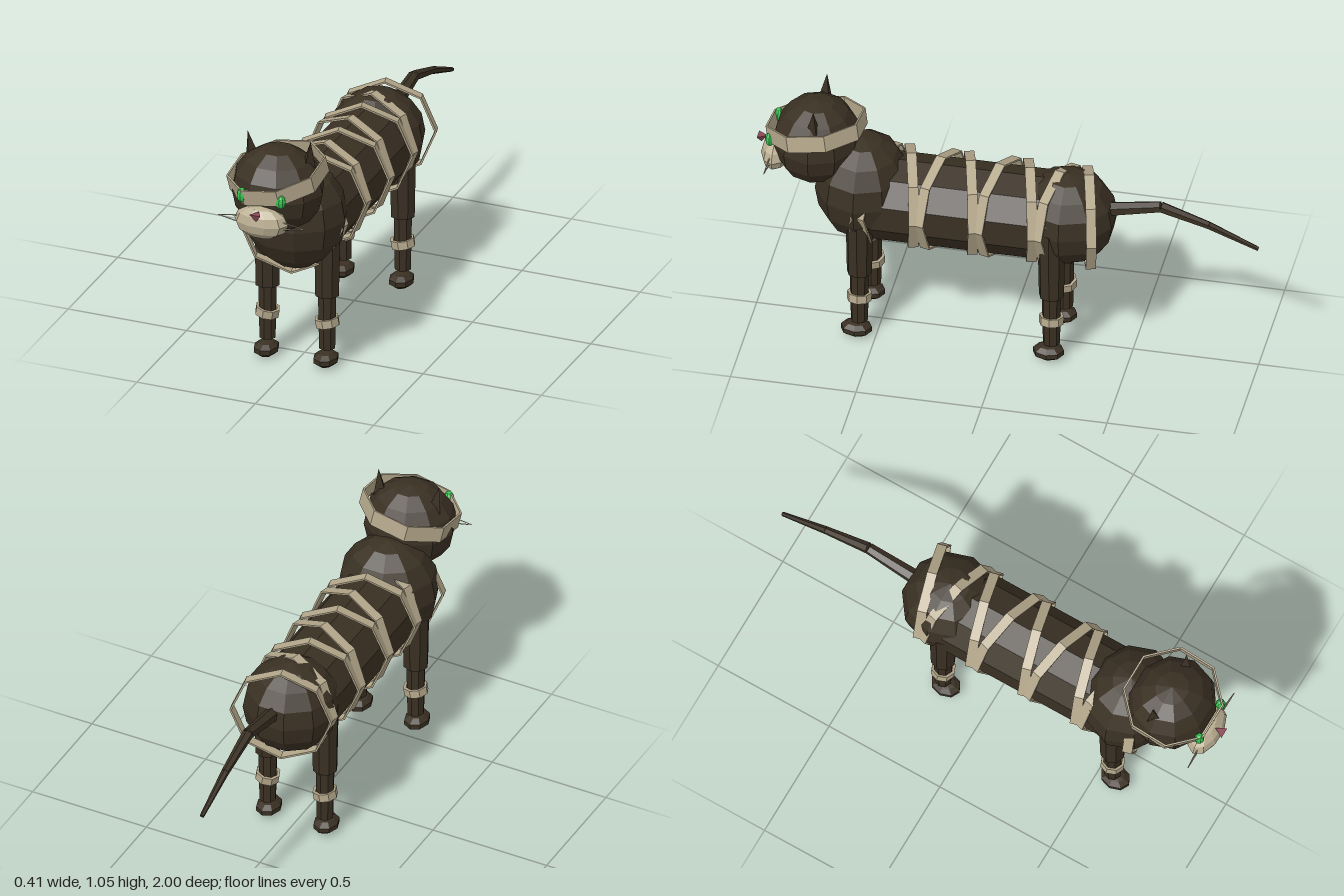
import * as THREE from 'three';

const mat = (name, color, side = THREE.FrontSide) => {
  const m = new THREE.MeshStandardMaterial({ color, flatShading: true, side });
  m.name = name;
  return m;
};

export function createModel() {
  const fur = mat('dark fur', 0x3a3023);
  const cloth = mat('bandage cloth', 0xb3a68a, THREE.DoubleSide);
  const pale = mat('pale muzzle', 0xb9ad91);
  const green = mat('green eye', 0x35c450);
  const pink = mat('pink nose', 0x8c4a58);

  const cat = new THREE.Group();
  cat.name = 'bandagedCat';

  const add = (name, geometry, material, x, y, z, parent = cat) => {
    const mesh = new THREE.Mesh(geometry, material);
    mesh.name = name;
    mesh.position.set(x, y, z);
    parent.add(mesh);
    return mesh;
  };
  // Faceted ellipsoid
  const blob = (name, material, pos, radii, w = 10, h = 8) => {
    const mesh = add(name, new THREE.SphereGeometry(1, w, h), material, ...pos);
    mesh.scale.set(...radii);
    return mesh;
  };
  // Tapered rod from point a to point b
  const rod = (name, material, a, b, ra, rb, sides = 8) => {
    const from = new THREE.Vector3(...a), to = new THREE.Vector3(...b);
    const dir = to.clone().sub(from);
    const mid = from.clone().add(to).multiplyScalar(0.5);
    const mesh = add(name, new THREE.CylinderGeometry(rb, ra, dir.length(), sides), material, mid.x, mid.y, mid.z);
    mesh.quaternion.setFromUnitVectors(new THREE.Vector3(0, 1, 0), dir.normalize());
    return mesh;
  };
  // Flat faceted hoop around the y axis
  const hoop = (radius, width, thick = 0.008) => {
    const i = radius - thick, w = width / 2;
    const p = [[i, -w], [radius, -w], [radius, w], [i, w], [i, -w]];
    return new THREE.LatheGeometry(p.map(([x, y]) => new THREE.Vector2(x, y)), 8);
  };

  // Trunk
  const cx = -0.004;
  rod('torso', fur, [cx, 0.602, 0.52], [cx, 0.602, -0.25], 0.177, 0.177, 10);
  blob('chest', fur, [cx, 0.642, 0.575], [0.207, 0.222, 0.19]);
  blob('haunches', fur, [cx, 0.615, -0.24], [0.193, 0.195, 0.195]);

  // Bandage hoops zigzagging down the trunk
  for (let i = 0; i < 9; i++) {
    const tilt = new THREE.Group();
    tilt.name = 'bodyBandage';
    tilt.position.set(cx, 0.612, 0.62 - i * 0.118);
    tilt.rotation.y = i % 2 ? -0.25 : 0.25;
    add('bodyBandageHoop', hoop(0.205, 0.04), cloth, 0, 0, 0, tilt).rotation.x = Math.PI / 2;
    cat.add(tilt);
  }

  // Legs, paws and leg bandages
  for (const [end, z] of [['front', 0.565], ['rear', -0.2]]) {
    for (const s of [-1, 1]) {
      const x = cx + s * 0.126;
      rod(end + 'UpperLeg', fur, [x, 0.31, z], [x, 0.62, z], 0.05, 0.056);
      rod(end + 'LowerLeg', fur, [x, 0.08, z], [x, 0.34, z], 0.034, 0.039);
      blob(end + 'Paw', fur, [x, 0.037, z + 0.012], [0.051, 0.032, 0.065], 8, 5);
      add(end + 'LegBandage', hoop(0.049, 0.034, 0.012), cloth, x, 0.193, z).rotation.z = s * 0.17;
    }
  }

  // Tail
  const tail = [[0.66, -0.38, 0.031], [0.705, -0.61, 0.023], [0.645, -0.8, 0.016], [0.56, -0.998, 0.009]];
  for (let i = 0; i < 3; i++) {
    const [y0, z0, r0] = tail[i], [y1, z1, r1] = tail[i + 1];
    rod('tailSegment', fur, [cx, y0, z0], [cx, y1, z1], r0, r1, 6);
  }

  // Head and headband
  blob('head', fur, [cx, 0.838, 0.76], [0.188, 0.177, 0.173]);
  const band = add('headBandage', hoop(0.199, 0.068), cloth, cx, 0.898, 0.762);
  band.geometry.rotateY(Math.PI / 8);
  band.rotation.set(0.17, 0, 0.17);

  // Face
  blob('muzzle', pale, [cx - 0.004, 0.758, 0.92], [0.113, 0.068, 0.06], 10, 6);
  const nose = add('nose', new THREE.ConeGeometry(0.027, 0.032, 3), pink, cx, 0.801, 0.982);
  nose.rotation.x = Math.PI;
  for (const s of [-1, 1]) {
    blob('eye', green, [cx + s * 0.082, 0.863, 0.93], [0.021, 0.031, 0.02], 8, 6);
    const ear = add('ear', new THREE.ConeGeometry(0.04, 0.14, 3), fur, cx + s * 0.124, 0.982, 0.748);
    ear.rotation.z = -s * 0.13;
    // Whiskers meeting at the outer tip
    for (const y of [0.74, 0.778]) {
      rod('whisker', pale, [cx + s * 0.07, y, 0.93], [cx + s * 0.18, 0.763, 0.935], 0.003, 0.002, 4);
    }
  }

  return cat;
}
